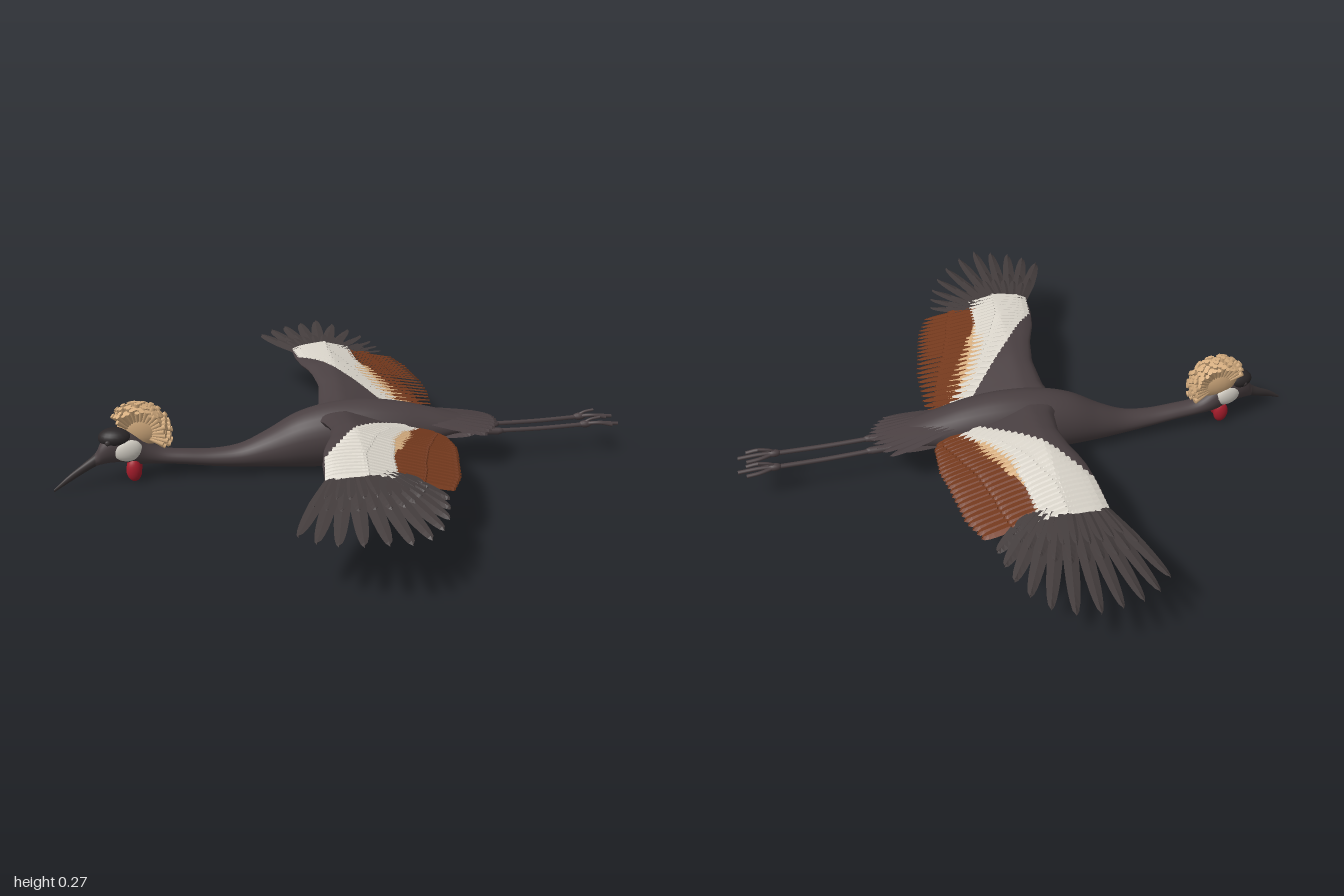
import * as THREE from 'three';
import { mergeGeometries, mergeVertices } from 'three/addons/utils/BufferGeometryUtils.js';

const mat = (name, color) => new THREE.MeshStandardMaterial({ name, color, side: THREE.DoubleSide });
const { lerp, clamp } = THREE.MathUtils;

// Piecewise linear lookup in a list of [input, output] pairs
function look(table, k) {
  for (let i = 1; i < table.length; i++) {
    const [a, p] = table[i - 1], [b, q] = table[i];
    if (k <= b) return lerp(p, q, clamp((k - a) / (b - a), 0, 1));
  }
  return table[table.length - 1][1];
}

// Grid surface from a rule point(u, v) -> [x, y, z]
function surface(nu, nv, point, flip = false) {
  const pos = [], idx = [];
  for (let i = 0; i <= nu; i++) for (let j = 0; j <= nv; j++) pos.push(...point(i / nu, j / nv));
  for (let i = 0; i < nu; i++) for (let j = 0; j < nv; j++) {
    const a = i * (nv + 1) + j, b = a + nv + 1;
    if (flip) idx.push(a, a + 1, b, b, a + 1, b + 1);
    else idx.push(a, b, a + 1, b, b + 1, a + 1);
  }
  let g = new THREE.BufferGeometry();
  g.setAttribute('position', new THREE.Float32BufferAttribute(pos, 3));
  g.setIndex(idx);
  g = mergeVertices(g, 1e-5);
  g.computeVertexNormals();
  return g;
}

// Body sections, beak tip to rump: [x, bottom, top, centre z, half width]
const SECTIONS = [
  [-.968, .003, .012, .097, .002], [-.92, .028, .052, .082, .008], [-.87, .052, .085, .062, .013],
  [-.83, .07, .115, .05, .018], [-.81, .074, .15, .045, .027], [-.78, .076, .178, .038, .035],
  [-.74, .072, .19, .03, .039], [-.70, .06, .178, .022, .039], [-.66, .056, .14, .015, .036],
  [-.61, .054, .108, .012, .033], [-.53, .046, .098, .01, .034], [-.44, .034, .094, .007, .037],
  [-.35, .026, .106, .003, .046], [-.26, .02, .148, 0, .063], [-.16, .016, .205, 0, .084],
  [-.05, .014, .236, 0, .094], [.07, .018, .244, 0, .096], [.18, .036, .232, 0, .09],
  [.28, .068, .208, -.003, .077], [.36, .096, .185, -.006, .066], [.43, .115, .165, -.01, .05],
  [.46, .13, .15, -.01, .02]];
const spineA = new THREE.CatmullRomCurve3(SECTIONS.map(s => new THREE.Vector3(s[0], s[1], s[2])), false, 'catmullrom');
const spineB = new THREE.CatmullRomCurve3(SECTIONS.map(s => new THREE.Vector3(s[0], s[3], s[4])), false, 'catmullrom');
function loft(from, to) {
  return surface((to - from) * 5, 28, (u, v) => {
    const t = lerp(from, to, u) / (SECTIONS.length - 1), a = (v % 1) * Math.PI * 2;
    const p = spineA.getPoint(t), q = spineB.getPoint(t);
    return [p.x, (p.y + p.z) / 2 + (p.z - p.y) / 2 * Math.sin(a), q.y + q.z * Math.cos(a)];
  });
}

// Wing outlines and colour borders: [distance from body axis, x]
const LEAD = [[.03, -.1], [.09, -.078], [.2, -.066], [.3, -.08], [.4, -.11], [.5, -.125], [.64, -.13]];
const GREY = [[.03, .2], [.1, .16], [.3, 0], [.4, -.06], [.48, -.115], [.64, -.13]];
const WHITE = [[.03, .27], [.1, .23], [.2, .16], [.32, .115], [.45, .09], [.64, .08]];
const TAN = [[.03, .28], [.1, .28], [.2, .215], [.32, .145], [.45, .1], [.64, .08]];
const BROWN = [[.06, .3], [.1, .325], [.25, .33], [.5, .29], [.62, .24]];
const RIDGE = [[.03, .2], [.1, .212], [.22, .235], [.35, .25], [.62, .24], [1, .222]];
const midY = (x, z) => look(RIDGE, z) - (x > 0 ? .22 * x : -.1 * x);
function thick(x, z) {
  const u = clamp((x - look(LEAD, z)) / .28, 0, 1);
  return .004 * Math.min(1, u * 10) + lerp(.03, .01, z / .62) * Math.sin(Math.PI * Math.sqrt(u));
}
const topY = (x, z) => midY(x, z) + thick(x, z) * .7;
const lowY = (x, z) => midY(x, z) - thick(x, z);

// One tented feather from base [x, z] to tip [x, z], lying on height rule yOf
function feather(base, tip, w, yOf, lift = 0, side = 1, point = 4) {
  const dx = tip[0] - base[0], dz = tip[1] - base[1], l = Math.hypot(dx, dz);
  return surface(9, 2, (u, v) => {
    const t = 1 - (1 - u) ** 1.5, c = v * 2 - 1;
    const half = w * Math.min(1, .55 + t) * Math.sqrt(Math.max(0, 1 - t ** point));
    const x = base[0] + dx * t, z = base[1] + dz * t;
    const y = yOf(x, z) + lift + (c === 0 ? .004 : c * .003);
    return [x + c * half * dz / l, y, (z - c * half * dx / l) * side];
  }, side > 0).toNonIndexed();
}
function finish(list) {
  const g = mergeGeometries(list);
  g.computeVertexNormals();
  return g;
}

export function createModel() {
  const M = {
    body: mat('charcoal plumage', 0x4a4042), quill: mat('slate flight feathers', 0x443d3d),
    beak: mat('dark horn', 0x3a3435), cap: mat('black cap', 0x2b2728), white: mat('off white', 0xd9d4ca),
    tan: mat('golden tan', 0xd6ae80), brown: mat('chestnut', 0x74391d), red: mat('crimson', 0xa51c2b),
  };
  const model = new THREE.Group();
  const add = (name, geometry, material, parent = model) => {
    const m = new THREE.Mesh(geometry, material);
    m.name = name;
    parent.add(m);
    return m;
  };
  const blob = (name, material, c, r) => {
    const m = add(name, new THREE.SphereGeometry(1, 20, 14), material);
    m.position.set(...c);
    m.scale.set(...r);
    return m;
  };

  // Body, neck and head in one skin, with the beak continuing it
  add('beak', loft(0, 3), M.beak);
  add('body', loft(3, SECTIONS.length - 1), M.body);
  blob('cap', M.cap, [-.763, .163, .035], [.056, .033, .041]);
  for (const s of [1, -1]) {
    blob('cheek', M.white, [-.723, .122, .027 + s * .026], [.05, .039, .02]).rotation.y = .2;
    blob('wattle', M.red, [-.708, .046, .026 + s * .02], [.026, .039, .018]);
    blob('eye', M.beak, [-.785, .158, .039 + s * .037], [.009, .009, .006]);
  }

  // Crest: a core with fanned, club-ended bristles
  blob('crestCore', M.tan, [-.675, .19, .012], [.082, .07, .034]);
  const bristles = [];
  for (let row = -3; row <= 3; row++) for (let i = 0; i < 17; i++) {
    const a = lerp(-.42, 2.42, (i + (row & 1) * .5) / 16.5);
    const len = .108 + .007 * Math.sin(i * 2.3 + row * 1.7) - Math.abs(row) * .004;
    const g = new THREE.CylinderGeometry(.0095, .003, len, 6);
    g.translate(0, len / 2, 0).rotateX(row * .1).rotateZ(a - Math.PI / 2);
    bristles.push(g.translate(-.687, .164, .012 + row * .003));
  }
  add('crestBristles', mergeGeometries(bristles), M.tan);

  // Tail fan
  const tail = [];
  for (let i = -5; i <= 5; i++) {
    const k = i / 5;
    tail.push(feather([.24, k * .045 - .008], [.53 - .055 * k * k, k * .105 - .01], .021,
      x => lerp(.2, .146, (x - .24) / .29), -.02 * k * k, 1, 6));
    tail.push(feather([.24, k * .035 - .008], [.47 - .04 * k * k, k * .08 - .01], .02,
      x => lerp(.1, .122, (x - .24) / .25), .012 * k * k, 1, 6));
  }
  add('tail', finish(tail), M.body);

  // Wings
  for (const s of [1, -1]) {
    const wing = new THREE.Group();
    wing.name = s > 0 ? 'leftWing' : 'rightWing';
    model.add(wing);
    const patch = (name, a, b, z0, z1, yOf, m, flip) => add(name, surface(40, 14, (u, v) => {
      const z = lerp(z0, z1, u), x = lerp(look(a, z), look(b, z), v * v * .4 + v * .6);
      return [x, yOf(x, z), z * s];
    }, flip === (s > 0)), m, wing);
    patch('shoulder', LEAD, GREY, .03, .62, topY, M.body, false);
    patch('coverts', GREY, WHITE, .05, .62, topY, M.white, false);
    patch('innerCoverts', WHITE, TAN, .05, .45, topY, M.tan, false);
    patch('underShoulder', LEAD, GREY, .03, .62, lowY, M.body, true);
    patch('lining', GREY, TAN, .05, .62, lowY, M.tan, true);

    // Overlapping white coverts in two tiers, and golden ones near the body
    const white = [], golden = [];
    for (let i = 0; i < 26; i++) {
      const z = lerp(.09, .605, i / 25), a = look(GREY, z), b = look(WHITE, z);
      white.push(feather([a, z - .01], [lerp(a, b, .62), z + .012], .015, topY, .003, s, 6));
      white.push(feather([lerp(a, b, .4), z], [b + .008, z + .012], .015, topY, .001, s, 6));
      if (z < .38) golden.push(feather([b - .03, z], [look(TAN, z) + .012, z + .008], .014, topY, -.001, s, 6));
    }
    add('whiteCoverts', finish(white), M.white, wing);
    add('goldenCoverts', finish(golden), M.tan, wing);

    // Secondaries
    const brown = [];
    for (let i = 0; i < 23; i++) {
      const z = lerp(.085, .585, i / 22);
      brown.push(feather([look(WHITE, z) - .02, z - .004], [look(BROWN, z) + .004, z + .018], .0175, midY, -.002, s, 8));
      brown.push(feather([look(WHITE, z) - .02, z], [lerp(look(TAN, z), look(BROWN, z), .5), z + .014], .016, midY, .003, s, 8));
    }
    add('secondaries', finish(brown), M.brown, wing);

    // Primaries fanned from the wrist, with short coverts over their bases
    const TIPS = [[-.23, .89], [-.185, .94], [-.13, .97], [-.065, .988], [0, 1], [.065, .98],
      [.125, .935], [.17, .87], [.2, .8], [.215, .735], [.225, .675]];
    const quills = [];
    TIPS.forEach((tip, i) => {
      const k = i / (TIPS.length - 1), base = [lerp(-.105, .1, k), .57];
      quills.push(feather(base, tip, .0235, midY, -.002, s, 4));
      const next = TIPS[Math.min(i + 1, TIPS.length - 1)];
      for (const [f, o] of [[.56, 0], [.4, .5]]) {
        const t = [lerp(tip[0], next[0], o), lerp(tip[1], next[1], o)];
        const b = [base[0] + o * .02, .58];
        quills.push(feather(b, [lerp(b[0], t[0], f), lerp(b[1], t[1], f)], .018, midY, .004 + o * .004, s, 5));
      }
    });
    add('primaries', finish(quills), M.quill, wing);
  }

  // Trailing legs and feet
  for (const [z0, z1] of [[.02, .002], [-.045, -.07]]) {
    const leg = new THREE.Group();
    leg.name = z0 > 0 ? 'leftLeg' : 'rightLeg';
    model.add(leg);
    const tube = (name, pts, r) => add(name, new THREE.TubeGeometry(
      new THREE.CatmullRomCurve3(pts.map(p => new THREE.Vector3(...p))), 16, r, 8), M.body, leg);
    const knob = (x, y, z, r) => {
      const m = add('joint', new THREE.SphereGeometry(r, 12, 8), M.body, leg);
      m.position.set(x, y, z);
      m.scale.x = 1.8;
    };
    tube('thigh', [[.3, .13, z0], [.42, .122, z0], [.53, .116, z0]], .013);
    tube('shank', [[.5, .117, z0], [.68, .115, (z0 + z1) / 2], [.85, .119, z1]], .008);
    knob(.53, .116, z0, .012);
    knob(.845, .12, z1, .013);
    for (const k of [-1, 0, 1])
      tube('toe', [[.84, .12, z1], [.89, .122 + k * .006, z1 + k * .016], [k ? .935 : .962, .116 + k * .004, z1 + k * .02]], .0065);
    tube('hindToe', [[.835, .122, z1], [.86, .136, z1], [.895, .143, z1]], .005);
  }
  return model;
}
